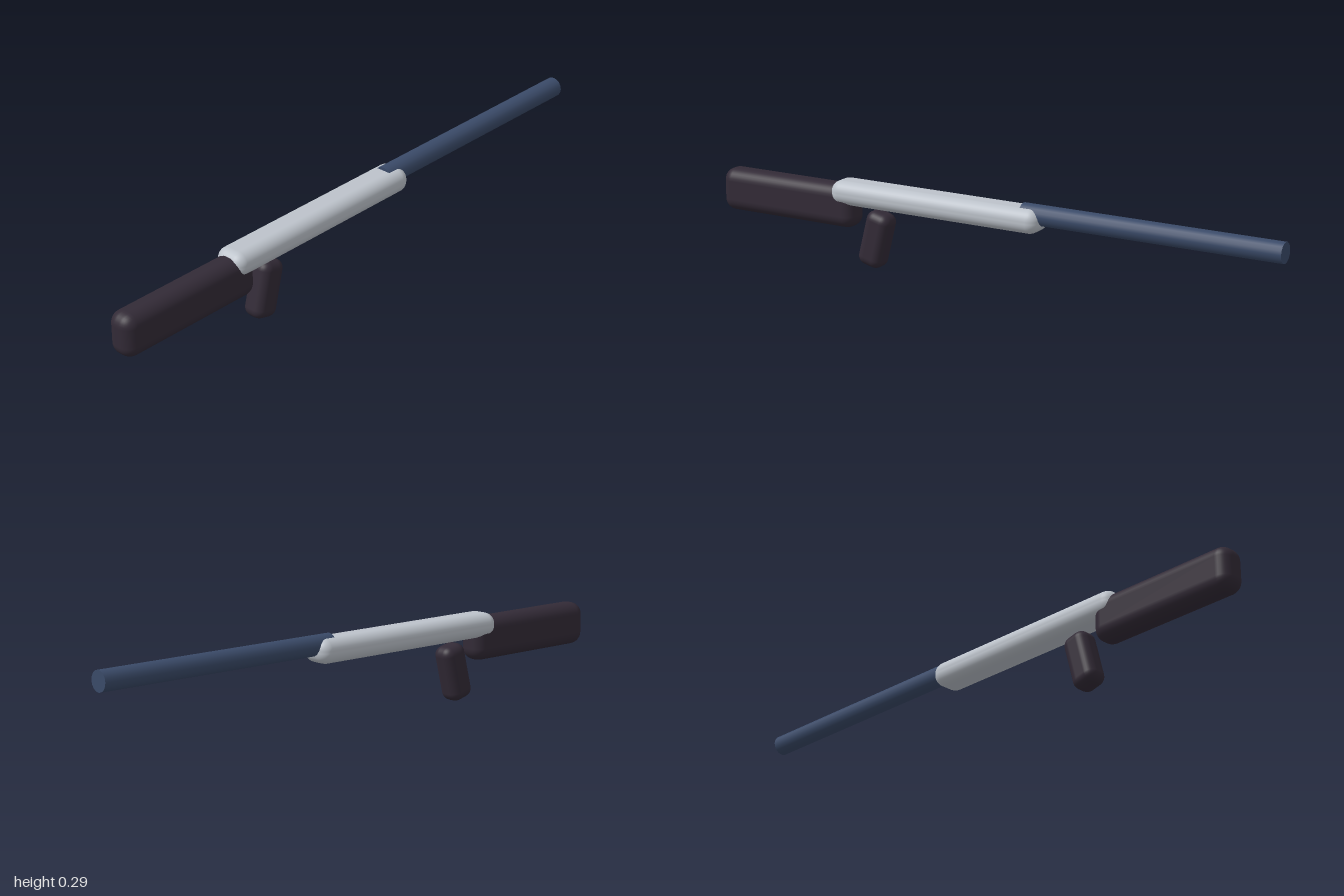
import * as THREE from 'three';
import { RoundedBoxGeometry } from 'three/addons/geometries/RoundedBoxGeometry.js';

const dark = new THREE.MeshStandardMaterial({ color: 0x322a36 });
const blue = new THREE.MeshStandardMaterial({ color: 0x3a4a68 });
const silver = new THREE.MeshStandardMaterial({ color: 0xbcc2ca });

export function createModel() {
  const model = new THREE.Group();

  const add = (name, geometry, material, y, z, tilt = 0) => {
    const mesh = new THREE.Mesh(geometry, material);
    mesh.name = name;
    mesh.position.set(0, y, z);
    mesh.rotation.x = tilt;
    model.add(mesh);
  };
  const block = (w, h, d, r) => new RoundedBoxGeometry(w, h, d, 4, r);

  // Long rounded body in the middle
  add('receiver', block(0.11, 0.079, 0.765, 0.036), silver, 0.2395, 0.1825);

  // Shoulder stock at the front end, overlapping the body
  add('stock', block(0.094, 0.142, 0.52, 0.04), dark, 0.193, 0.74);

  // Hand grip, its foot leaning towards the stock
  add('grip', block(0.078, 0.187, 0.09, 0.03), dark, 0.0965, 0.411, -0.25);

  // Round barrel running to the far end
  add('barrel', new THREE.CylinderGeometry(0.033, 0.033, 0.87, 16), blue, 0.257, -0.565, Math.PI / 2);

  return model;
}
